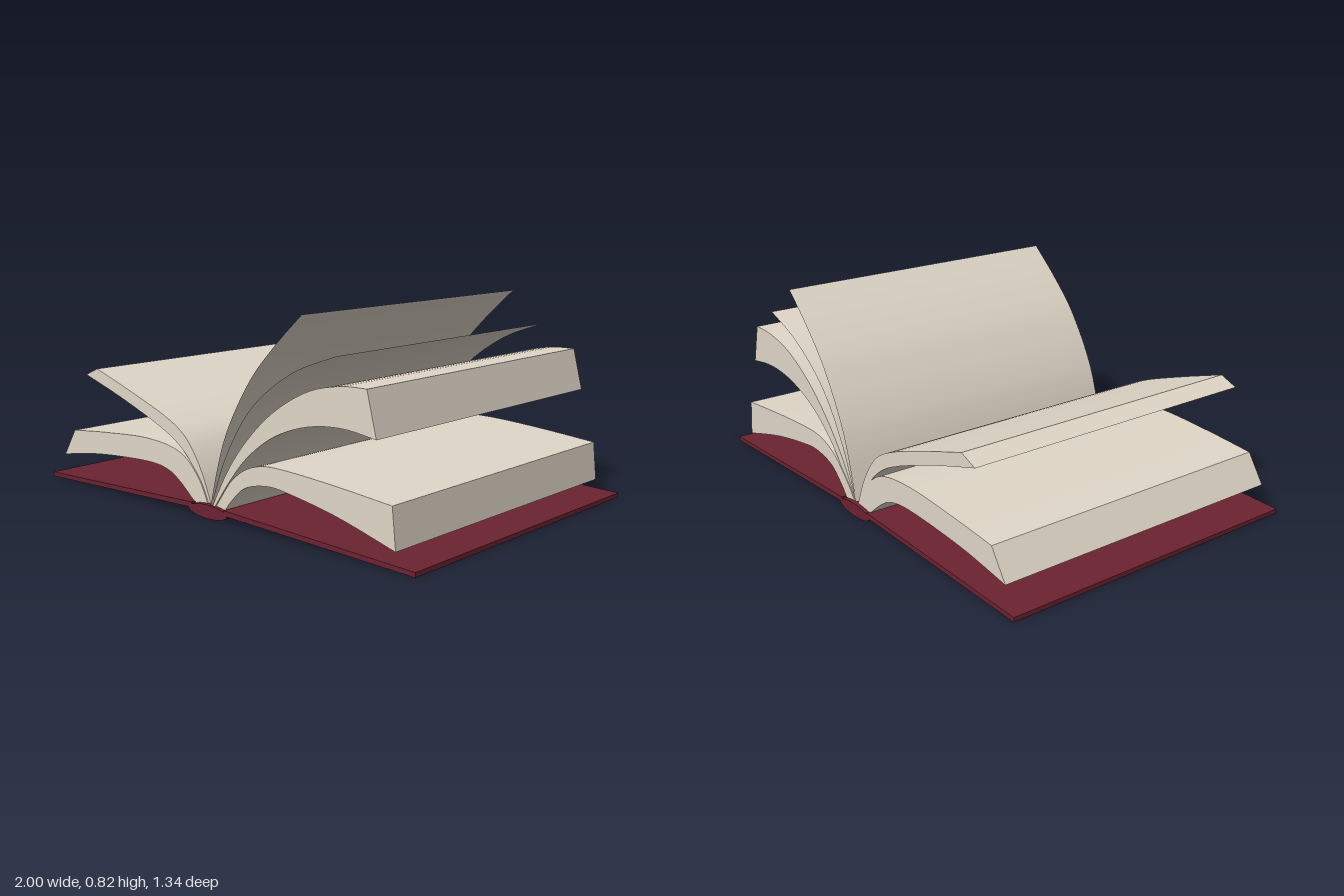
import * as THREE from 'three';
import { toCreasedNormals } from 'three/addons/utils/BufferGeometryUtils.js';

const paper = new THREE.MeshStandardMaterial({ color: 0xdfd6c7 });
paper.name = 'paper';
const sheetPaper = paper;
sheetPaper.side = THREE.DoubleSide;
const leather = new THREE.MeshStandardMaterial({ color: 0x6b2230 });
leather.name = 'burgundyLeather';

// smooth run of points through a few [x, y] stations
function smooth(points, n = 28) {
  return new THREE.SplineCurve(points.map(p => new THREE.Vector2(...p))).getPoints(n);
}

// closed profile extruded from z0 to z1
function prism(name, outline, z0, z1, material, crease = 0.5) {
  const geo = new THREE.ExtrudeGeometry(new THREE.Shape(outline), { depth: z1 - z0, bevelEnabled: false });
  geo.translate(0, 0, z0);
  const mesh = new THREE.Mesh(toCreasedNormals(geo, crease), material);
  mesh.name = name;
  return mesh;
}

// block of pages between an upper and a lower curve, both listed from the spine outward
function pageBlock(name, upper, lower, z0, z1) {
  return prism(name, [...smooth(upper), ...smooth(lower).reverse()], z0, z1, paper);
}

// single loose page: a plane bent along a curve, its back edge drawn in toward the tip
function sheet(name, points, zFront, zBack, skew) {
  const n = 28, curve = smooth(points, n);
  const geo = new THREE.PlaneGeometry(1, 1, n, 1);
  const pos = geo.attributes.position;
  for (let i = 0; i < pos.count; i++) {
    const k = i % (n + 1), front = i > n;
    pos.setXYZ(i, curve[k].x, curve[k].y, front ? zFront : zBack + skew * k / n);
  }
  geo.computeVertexNormals();
  const mesh = new THREE.Mesh(geo, sheetPaper);
  mesh.name = name;
  return mesh;
}

export function createModel() {
  const book = new THREE.Group();
  book.name = 'openBook';

  // cover boards, mirrored, sloping down from the spine
  const D = 0.67;
  for (const [name, s] of [['leftCover', 1], ['rightCover', -1]]) {
    const pts = [[0.09, 0.032], [1, 0.002], [1, 0.02], [0.09, 0.053]];
    book.add(prism(name, pts.map(([x, y]) => new THREE.Vector2(s * x, y)), -D, D, leather));
  }

  // lens-shaped spine
  const arc = [];
  for (let i = 0; i < 32; i++) {
    const a = i / 32 * Math.PI * 2;
    arc.push(new THREE.Vector2(0.108 * Math.cos(a), 0.031 + 0.027 * Math.sin(a)));
  }
  book.add(prism('spine', arc, -D, D, leather));

  // thick page blocks
  book.add(pageBlock('rightLowerPages',
    [[-0.016, 0.05], [-0.075, 0.155], [-0.18, 0.235], [-0.37, 0.26], [-0.636, 0.245], [-0.86, 0.223]],
    [[-0.09, 0.045], [-0.18, 0.117], [-0.26, 0.155], [-0.395, 0.165], [-0.69, 0.145], [-0.935, 0.107]],
    -0.655, 0.65));
  book.add(pageBlock('rightUpperPages',
    [[-0.004, 0.05], [-0.06, 0.18], [-0.144, 0.293], [-0.26, 0.36], [-0.476, 0.436], [-0.695, 0.505]],
    [[-0.02, 0.05], [-0.075, 0.15], [-0.166, 0.245], [-0.29, 0.313], [-0.53, 0.4], [-0.77, 0.473]],
    -0.655, 0.645));
  book.add(pageBlock('leftUpperPages',
    [[0.018, 0.05], [0.11, 0.21], [0.22, 0.346], [0.353, 0.463], [0.513, 0.553], [0.663, 0.59], [0.783, 0.595]],
    [[0.03, 0.05], [0.123, 0.175], [0.22, 0.28], [0.353, 0.372], [0.513, 0.43], [0.674, 0.447], [0.825, 0.43]],
    -0.65, 0.662));
  book.add(pageBlock('leftLowerPages',
    [[0.02, 0.05], [0.07, 0.117], [0.166, 0.207], [0.273, 0.25], [0.406, 0.255], [0.647, 0.24], [0.889, 0.218]],
    [[0.08, 0.045], [0.123, 0.096], [0.193, 0.154], [0.3, 0.18], [0.406, 0.175], [0.647, 0.133], [0.905, 0.064]],
    -0.653, 0.655));

  // loose pages being turned
  book.add(sheet('upperLoosePage',
    [[0.01, 0.055], [0.09, 0.32], [0.22, 0.545], [0.35, 0.69], [0.49, 0.818]], 0.662, -0.655, 0.015));
  book.add(sheet('lowerLoosePage',
    [[0.012, 0.055], [0.1, 0.265], [0.24, 0.465], [0.44, 0.61], [0.648, 0.69]], 0.66, -0.655, 0.01));

  return book;
}
